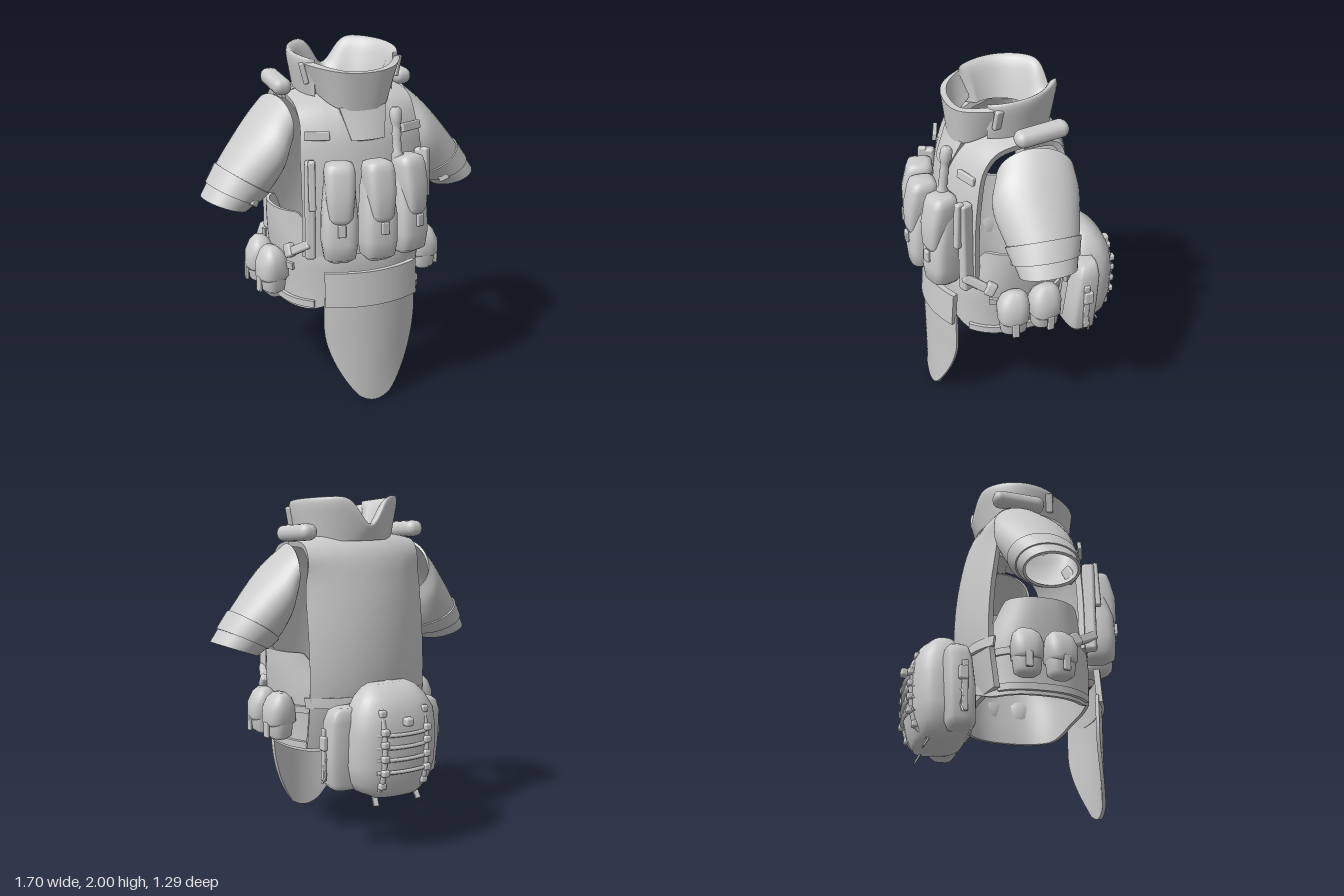
import * as THREE from 'three';
import { mergeGeometries } from 'three/addons/utils/BufferGeometryUtils.js';
import { RoundedBoxGeometry } from 'three/addons/geometries/RoundedBoxGeometry.js';

const V = (x, y, z) => new THREE.Vector3(x, y, z);
const mat = new THREE.MeshStandardMaterial({ color: 0xcccccc, side: THREE.DoubleSide });
const { lerp, smoothstep } = THREE.MathUtils;
const curve = (pts) => new THREE.CatmullRomCurve3(pts.map((p) => V(...p)));
const spow = (a, e) => Math.sign(a) * Math.abs(a) ** e;

function add(parent, name, geo, pos = [0, 0, 0], rot = [0, 0, 0]) {
  const m = new THREE.Mesh(geo, mat);
  m.name = name;
  m.position.set(...pos);
  m.rotation.set(...rot);
  parent.add(m);
  return m;
}
const box = (w, h, d, r = 0.3) => new RoundedBoxGeometry(w, h, d, 2, Math.min(w, h, d) * r);

// Surface from fn(u, v); with thickness t it becomes a closed shell with a rim
function sheet(fn, nu, nv, { t = 0, wrap = false } = {}) {
  const cols = wrap ? nu : nu + 1, pos = [], idx = [];
  for (let j = 0; j <= nv; j++)
    for (let i = 0; i < cols; i++) pos.push(...fn(i / nu, j / nv).toArray());
  const at = (i, j) => j * cols + (i % cols);
  for (let j = 0; j < nv; j++)
    for (let i = 0; i < nu; i++) {
      const a = at(i, j), b = at(i + 1, j), c = at(i + 1, j + 1), d = at(i, j + 1);
      idx.push(a, b, c, a, c, d);
    }
  const make = (p, ix) => {
    const g = new THREE.BufferGeometry();
    g.setAttribute('position', new THREE.Float32BufferAttribute(p, 3));
    if (ix) g.setIndex(ix);
    g.computeVertexNormals();
    return g;
  };
  const outer = make(pos, idx);
  if (!t) return outer;
  const n = outer.attributes.normal.array;
  const inPos = pos.map((p, k) => p - n[k] * t);
  const rim = [];
  const P = (arr, k) => arr.slice(k * 3, k * 3 + 3);
  const edge = (a, b) => rim.push(...P(pos, a), ...P(inPos, a), ...P(pos, b), ...P(pos, b), ...P(inPos, a), ...P(inPos, b));
  for (let i = 0; i < nu; i++) { edge(at(i, 0), at(i + 1, 0)); edge(at(i + 1, nv), at(i, nv)); }
  if (!wrap) for (let j = 0; j < nv; j++) { edge(at(nu, j), at(nu, j + 1)); edge(at(0, j + 1), at(0, j)); }
  const inner = make(inPos, idx.slice().reverse());
  return mergeGeometries([outer.toNonIndexed(), inner.toNonIndexed(), make(rim)]);
}

// Closed soft body through rounded-rectangle sections [y, halfWidth, zCentre, halfDepth]
function blob(sections, e = 0.6) {
  const s = [[sections[0][0], 0, sections[0][2], 0], ...sections];
  const l = sections[sections.length - 1];
  s.push([l[0], 0, l[2], 0]);
  return sheet((u, v) => {
    const [y, w, z, d] = s[Math.round(v * (s.length - 1))], a = u * Math.PI * 2;
    return V(w * spow(Math.sin(a), e), y, z + d * spow(Math.cos(a), e));
  }, 32, s.length - 1, { wrap: true });
}

// Waist outline; a = 0 is the front, +PI/2 the left side
const waist = (a, y, out = 0) => V(
  (0.41 + 0.05 * smoothstep(y, 0.55, 1.1) + out) * spow(Math.sin(a), 0.8), y,
  0.08 + (0.355 - 0.06 * smoothstep(y, 0.8, 1.12) + out) * spow(Math.cos(a), 0.8));
const band = (a0, a1, y0, y1, out = 0.02) => sheet((u, v) => waist(lerp(a0, a1, u), lerp(y0, y1, v), out), 24, 2, { t: 0.02 });

// Front or back plate: path points are [edge drop, y, z] from hem to shoulder
function plate(points, side, neckV, w) {
  const c = curve(points);
  return sheet((u, v) => {
    const k = u * 2 - 1, x = k * w * side;
    const q = c.getPoint(v * lerp(neckV, 1, smoothstep(Math.abs(x), 0.15, 0.25)));
    return V(x * lerp(1, 0.95, smoothstep(q.y, 1.45, 1.65)), q.y - 0.05 * k * k * smoothstep(q.y, 1.5, 1.8), q.z - side * q.x * k * k);
  }, 36, 28, { t: 0.035 });
}

function sleeve() {
  const g = new THREE.Group();
  g.name = 'sleeve';
  // upper edge [x, y, z centre] and lower edge [x, y, z half width]
  const top = curve([[0.4, 1.735, 0], [0.53, 1.615, 0.025], [0.735, 1.37, 0.035], [0.85, 1.2, 0.05]]);
  const low = curve([[0.395, 1.42, 0.21], [0.42, 1.31, 0.24], [0.48, 1.2, 0.2], [0.6, 1.11, 0.16]]);
  // the shoulder end turns slightly to the back
  const ring = (a, v, k = 1) => {
    const T = top.getPoint(v), B = low.getPoint(v), c = k * Math.cos(a), s = Math.sin(a);
    return V((T.x + B.x) / 2 + (T.x - B.x) / 2 * c - 0.04 * (1 - v) * s, (T.y + B.y) / 2 + (T.y - B.y) / 2 * c, T.z + k * B.z * s);
  };
  add(g, 'sleeveShell', sheet((u, v) => ring(u * Math.PI * 2, v), 36, 16, { t: 0.015, wrap: true }));
  add(g, 'cuffStrap', sheet((u, v) => ring(u * Math.PI * 2, lerp(0.67, 0.86, v), 1.05), 36, 3, { t: 0.02, wrap: true }));
  add(g, 'cuffBuckle', box(0.06, 0.11, 0.03), [0.585, 1.215, 0.19], [0, -0.6, 0.5]);
  return g;
}

function hipPouch() {
  const g = new THREE.Group();
  g.name = 'hipPouch';
  add(g, 'pouchBody', blob([[-0.14, 0.04, 0, 0.05], [-0.12, 0.065, 0, 0.075], [0, 0.075, 0, 0.088], [0.07, 0.06, 0, 0.075]], 0.8));
  add(g, 'pouchLid', blob([[-0.06, 0.075, 0.005, 0.07], [-0.04, 0.092, 0, 0.09], [0.04, 0.088, 0, 0.094], [0.1, 0.06, -0.005, 0.078], [0.13, 0.03, -0.01, 0.045]], 0.8));
  add(g, 'pullTab', box(0.02, 0.09, 0.04), [0.085, -0.08, 0]);
  return g;
}

function magazinePouch(s) {
  const g = new THREE.Group();
  g.name = 'magazinePouch';
  add(g, 'pouchBody', blob([[0.88, 0.06, -0.02, 0.06], [0.91, 0.088, 0, 0.088], [1.0, 0.102, 0, 0.095], [1.15, 0.1, 0, 0.085], [1.3, 0.085, -0.025, 0.065], [1.38, 0.07, -0.035, 0.04]]));
  add(g, 'pouchFlap', blob([[1.115, 0.045, 0.06, 0.025], [1.15, 0.066, 0.052, 0.05], [1.28, 0.082, 0.022, 0.08], [1.39, 0.085, -0.005, 0.08], [1.43, 0.075, -0.01, 0.07], [1.44, 0.05, -0.01, 0.045]], 0.6));
  add(g, 'pullTab', box(0.045, 0.07, 0.02), [0, 1.085, 0.1]);
  g.position.set(s * 0.21, 0, 0.53 - 0.045 * s * s);
  g.rotation.y = s * 0.28;
  return g;
}

// Parts of the left half, mirrored for the right
function leftHalf() {
  const g = new THREE.Group();
  g.name = 'sideParts';
  g.add(sleeve());
  add(g, 'shoulderPad', box(0.11, 0.095, 0.31, 0.48), [0.365, 1.797, -0.045], [0.08, 0.06, 0]);
  add(g, 'chestTab', box(0.14, 0.05, 0.025), [0.285, 1.565, 0.355], [-0.15, 0.32, 0.06]);
  add(g, 'collarStrap', box(0.03, 0.12, 0.09), [0.275, 1.875, 0.15], [0, 0.35, -0.25]);
  add(g, 'sideStrip', box(0.06, 0.56, 0.075), [0.34, 1.16, 0.385], [0, 0.4, 0]);
  add(g, 'stripClip', box(0.04, 0.28, 0.05), [0.345, 1.31, 0.425], [-0.05, 0.4, 0]);
  for (const [z, r] of [[0.16, -0.15], [-0.03, 0.1]]) {
    const p = hipPouch();
    p.position.set(0.485, 0.765, z);
    p.rotation.y = r;
    g.add(p);
  }
  // belt straps
  add(g, 'hipStrap', band(0.75, 2.2, 0.57, 0.61));
  add(g, 'pouchStrap', band(1.1, 2.3, 0.78, 0.82, 0.015));
  add(g, 'slantedStrap', box(0.04, 0.05, 0.2), [0.39, 0.925, 0.33], [-0.55, -0.35, 0]);
  add(g, 'strapBuckle', box(0.05, 0.08, 0.06), [0.42, 0.9, 0.27], [-0.5, -0.3, 0]);
  // strap and loose cord on the pack side
  add(g, 'packSideStrap', box(0.02, 0.3, 0.035), [0.378, 0.58, -0.35]);
  add(g, 'packSideBuckle', box(0.03, 0.08, 0.055), [0.385, 0.65, -0.36]);
  const cord = curve([[0.37, 0.56, -0.37], [0.385, 0.52, -0.36], [0.375, 0.47, -0.37], [0.395, 0.42, -0.36]]);
  add(g, 'looseCord', new THREE.TubeGeometry(cord, 10, 0.006, 6));
  // vertical webbing on the pack
  const web = curve([[0.14, 0.85, -0.565], [0.14, 0.72, -0.6], [0.14, 0.55, -0.605], [0.14, 0.42, -0.575], [0.14, 0.35, -0.51]]);
  add(g, 'packWebbing', new THREE.TubeGeometry(web, 16, 0.017, 6));
  for (const y of [0.83, 0.73, 0.66, 0.58, 0.5, 0.42])
    add(g, 'webbingBuckle', box(0.045, 0.04, 0.04), [0.14, y, y > 0.8 || y < 0.45 ? -0.58 : -0.613]);
  add(g, 'webbingTail', box(0.035, 0.09, 0.012), [0.14, 0.33, -0.51], [0.5, 0, 0.1]);
  return g;
}

export function createModel() {
  const model = new THREE.Group();
  model.name = 'armorVest';

  // Main plates
  add(model, 'frontPlate', plate([[0.1, 0.88, 0.44], [0.1, 1.15, 0.44], [0.1, 1.4, 0.425], [0.09, 1.58, 0.385], [0.06, 1.7, 0.31], [0, 1.77, 0.18], [0, 1.8, 0.05]], 1, 0.67, 0.37));
  add(model, 'backPlate', plate([[0.06, 0.58, -0.25], [0.1, 0.9, -0.325], [0.12, 1.2, -0.335], [0.12, 1.5, -0.3], [0.06, 1.7, -0.24], [0, 1.79, -0.12], [0, 1.8, 0.05]], -1, 0.8, 0.39));
  add(model, 'chestPatch', sheet((u, v) => V((u * 2 - 1) * lerp(0.1, 0.14, v), lerp(1.53, 1.7, v), lerp(0.42, 0.345, v) - 0.015 * (u * 2 - 1) ** 2), 8, 4, { t: 0.03 }));

  // Waist: high arched sides, low front and back
  add(model, 'waistBelt', sheet((u, v) => {
    const a = u * Math.PI * 2, s = Math.abs(Math.sin(a));
    return waist(a, lerp(lerp(0.62, 0.55, smoothstep(s, 0.2, 0.8)), lerp(0.9, 1.125, smoothstep(s, 0.45, 0.8)), v));
  }, 72, 12, { t: 0.02, wrap: true }));
  add(model, 'rearBeltStrap', band(Math.PI - 0.9, Math.PI + 0.9, 0.82, 0.88, 0.06));

  // Collar: front guard, and padded rear lobes with a notch between
  add(model, 'frontCollar', sheet((u, v) => {
    const k = u * 2 - 1, k2 = k * k;
    return V(k * lerp(0.23, 0.29, v), lerp(1.68 + 0.1 * k2 * k2, 1.89 + 0.04 * k2, v), lerp(0.355, 0.375, v) - 0.05 * k2 - 0.13 * k2 * k2);
  }, 24, 8, { t: 0.035 }));
  // profile [radius, height fraction] up the outside, over the rim and down the flared inside
  const lobe = curve([[0.27, 0, 0], [0.29, 0.45, 0], [0.305, 0.9, 0], [0.295, 1, 0], [0.265, 0.92, 0], [0.22, 0.5, 0], [0.185, 0.05, 0]]);
  add(model, 'rearCollar', sheet((u, v) => {
    const k = u * 2 - 1, a = k * 2.2, p = lobe.getPoint(v);
    const h = 2.005 - 0.16 * Math.exp(-((k / 0.13) ** 2)) - 0.05 * k * k;
    const r = lerp(0.28, p.x, Math.sqrt(Math.min(1, (1 - Math.abs(k)) / 0.08)));
    return V(-(r + 0.012) * Math.sin(a), lerp(1.75, h, p.y), 0.05 - r * Math.cos(a));
  }, 72, 20));

  // Groin guard and the band holding it
  add(model, 'groinGuard', sheet((u, v) => {
    const k = u * 2 - 1, y = v * 0.64;
    const w = 0.1 + 0.185 * Math.sin(Math.min(1, y / 0.5) * Math.PI / 2);
    return V(k * w, y + 0.04 * k * k * (1 - v) ** 6, 0.53 - 0.09 * k * k * smoothstep(y, -0.1, 0.45));
  }, 20, 20, { t: 0.02 }));
  add(model, 'groinBand', sheet((u, v) => {
    const k = u * 2 - 1;
    return V(k * 0.285, lerp(0.6, 0.8, v), 0.54 - 0.015 * v - 0.075 * k * k);
  }, 20, 3, { t: 0.035 }));

  // Chest pouches and radio
  for (const s of [-1, 0, 1]) model.add(magazinePouch(s));
  const aerial = [[0, 1.36], [0.034, 1.36], [0.034, 1.44], [0.022, 1.46], [0.028, 1.49], [0.022, 1.52], [0.028, 1.55], [0.022, 1.58], [0.026, 1.61], [0.034, 1.63], [0.034, 1.68], [0.02, 1.7], [0, 1.7]];
  add(model, 'radioAerial', new THREE.LatheGeometry(aerial.map((p) => new THREE.Vector2(p[0], p[1] - 1.53)), 14), [0.155, 1.53, 0.44], [-0.13, 0, 0]);

  // Rear pack: wide base against the back, bulging main bag, rungs of webbing
  add(model, 'packBase', blob([[0.37, 0.32, -0.35, 0.06], [0.41, 0.36, -0.35, 0.09], [0.6, 0.372, -0.36, 0.092], [0.77, 0.37, -0.375, 0.085], [0.83, 0.35, -0.38, 0.07], [0.85, 0.32, -0.385, 0.05]], 0.4));
  add(model, 'rearPack', blob([[0.34, 0.15, -0.48, 0.08], [0.365, 0.21, -0.43, 0.145], [0.42, 0.255, -0.42, 0.175], [0.52, 0.275, -0.433, 0.185], [0.7, 0.275, -0.45, 0.172], [0.82, 0.26, -0.45, 0.155], [0.9, 0.215, -0.44, 0.125], [0.95, 0.17, -0.43, 0.08], [0.97, 0.13, -0.42, 0.045]], 0.78));
  for (const y of [0.5, 0.57, 0.64, 0.71]) {
    const rung = curve([[-0.18, y, -0.585], [-0.1, y, -0.618], [0, y, -0.63], [0.1, y, -0.618], [0.18, y, -0.585]]);
    add(model, 'webbingRung', new THREE.TubeGeometry(rung, 16, 0.012, 6));
  }
  add(model, 'packHandle', box(0.055, 0.05, 0.05), [0, 0.78, -0.63]);

  const left = leftHalf(), right = left.clone();
  right.scale.x = -1;
  model.add(left, right);
  return model;
}
